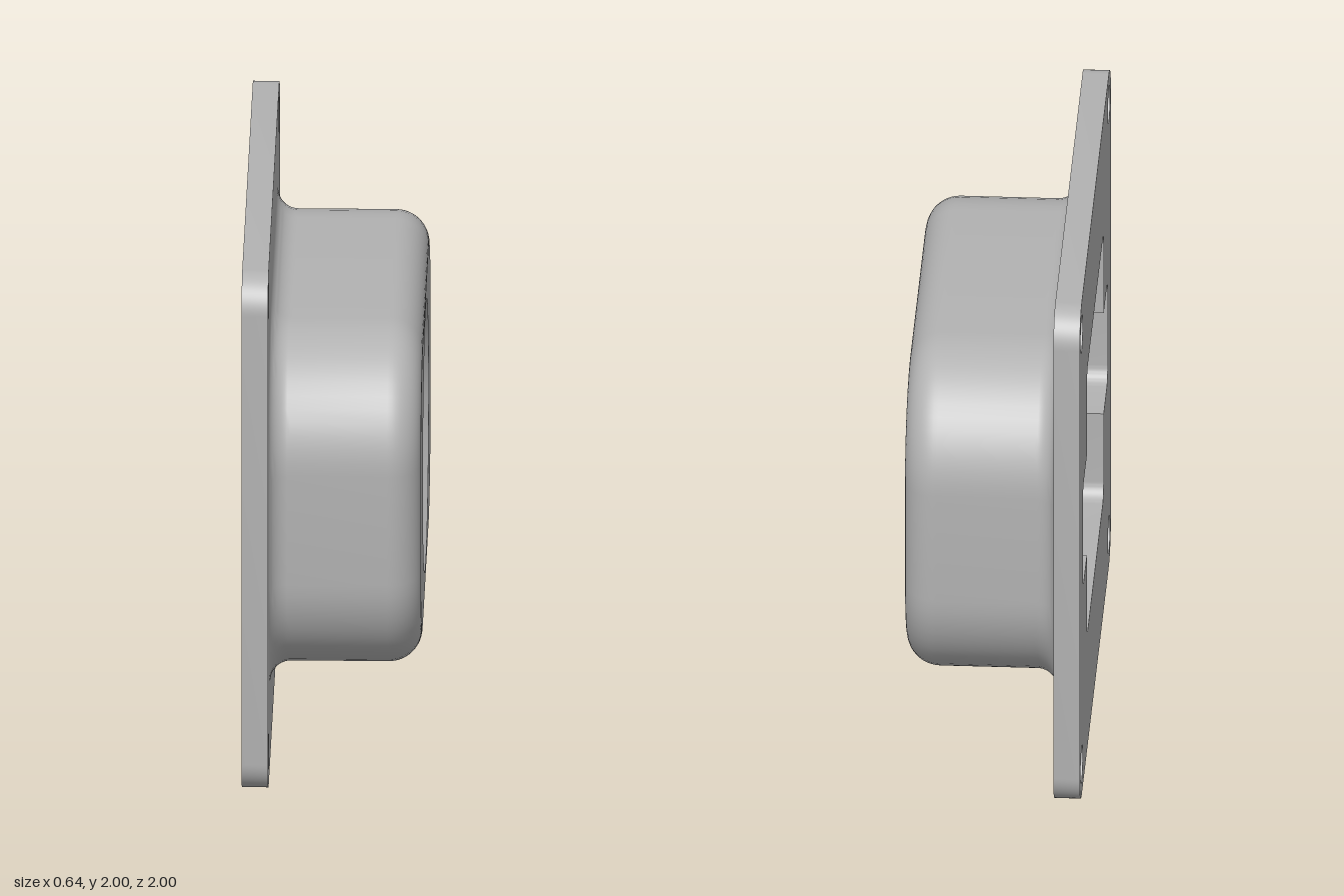
import * as THREE from 'three';
import { toCreasedNormals } from 'three/addons/utils/BufferGeometryUtils.js';

// Cross-sections lie in the plate's plane (u, v); w is the depth, which ends up along +x.
const BACK = -0.32, PLATE = -0.225, FLOOR = 0, FRONT = 0.32;

// Right-angled outline, counter-clockwise, from corners [u, v, radius]
function outline(corners, steps = 14) {
  const n = corners.length, out = [];
  corners.forEach(([u, v, r], i) => {
    const p = new THREE.Vector2(u, v);
    if (!r) { out.push(p); return; }
    const d1 = p.clone().sub(new THREE.Vector2(...corners[(i + n - 1) % n].slice(0, 2))).normalize();
    const d2 = new THREE.Vector2(...corners[(i + 1) % n].slice(0, 2)).sub(p).normalize();
    const c = p.clone().addScaledVector(d1, -r).addScaledVector(d2, r);
    for (let k = 0; k <= steps; k++) {
      const t = (k / steps) * Math.PI / 2;
      out.push(c.clone().addScaledVector(d2, -r * Math.cos(t)).addScaledVector(d1, r * Math.sin(t)));
    }
  });
  return out;
}

const roundRect = (a, b, r) => outline([[a, -b, r], [a, b, r], [-a, b, r], [-a, -b, r]]);

function circle(r, n, cu = 0, cv = 0) {
  return Array.from({ length: n }, (_, i) => {
    const t = (i / n) * Math.PI * 2;
    return new THREE.Vector2(cu + r * Math.cos(t), cv + r * Math.sin(t));
  });
}

const at = (points, w) => points.map(p => new THREE.Vector3(p.x, p.y, w));

// Skin over closed rings ordered by depth; inward turns the faces to the axis
function loft(rings, inward = false) {
  const n = rings[0].length, pos = [], index = [];
  rings.forEach(ring => ring.forEach(p => pos.push(p.x, p.y, p.z)));
  for (let j = 0; j < rings.length - 1; j++) {
    for (let i = 0; i < n; i++) {
      const a = j * n + i, b = j * n + (i + 1) % n, c = b + n, d = a + n;
      if (inward) index.push(a, c, b, a, d, c);
      else index.push(a, b, c, a, c, d);
    }
  }
  const g = new THREE.BufferGeometry();
  g.setAttribute('position', new THREE.Float32BufferAttribute(pos, 3));
  g.setIndex(index);
  return toCreasedNormals(g, 0.6);
}

// Flat face with holes, looking forward or (mirrored in u) backward
function face(points, holes, w, backward = false) {
  const shape = new THREE.Shape(points);
  holes.forEach(h => shape.holes.push(new THREE.Path(h)));
  const g = new THREE.ShapeGeometry(shape);
  if (backward) g.rotateY(Math.PI);
  return g.translate(0, 0, w);
}

export function createModel() {
  const model = new THREE.Group();
  const body = new THREE.Group();
  body.name = 'mountingHousing';
  body.rotation.y = Math.PI / 2;
  body.position.y = 1;
  model.add(body);

  const grey = new THREE.MeshStandardMaterial({ color: 0xb2b2b2 });
  grey.name = 'grey';
  const add = (name, geometry) => {
    const mesh = new THREE.Mesh(geometry, grey);
    mesh.name = name;
    body.add(mesh);
  };

  // Main sections
  const baseFillet = 0.075, frontFillet = 0.12;
  const shell = o => roundRect(0.903 + o, 0.65 + o, 0.44 + o);
  const plate = roundRect(1, 1, 0.13);
  const screws = [[1, 1], [-1, 1], [-1, -1], [1, -1]].map(([u, v]) => circle(0.07, 32, u * 0.875, v * 0.875));
  const h = 0.54, tab = 0.8, th = 0.205, r = 0.06;
  const pocket = outline([
    [h, -h, r], [h, -th, 0], [tab, -th, r], [tab, th, r], [h, th, 0], [h, h, r],
    [-h, h, r], [-h, th, 0], [-tab, th, r], [-tab, -th, r], [-h, -th, 0], [-h, -h, r],
  ]);

  // Plate with four screw holes
  add('plateBack', face(plate, [...screws, pocket], BACK, true));
  add('plateFront', face(plate, [...screws, shell(baseFillet)], PLATE));
  add('plateEdge', loft([at(plate, BACK), at(plate, PLATE)]));
  screws.forEach(s => add('screwHole', loft([at(s, BACK), at(s, PLATE)], true)));

  // Outer shell: concave fillet at the plate, straight wall, rounded front edge
  const rings = [];
  const steps = 12;
  for (let k = 0; k <= steps; k++) {
    const t = (k / steps) * Math.PI / 2;
    rings.push(at(shell(baseFillet * (1 - Math.sin(t))), PLATE + baseFillet * (1 - Math.cos(t))));
  }
  for (let k = 0; k <= steps; k++) {
    const t = (k / steps) * Math.PI / 2;
    rings.push(at(shell(frontFillet * (Math.cos(t) - 1)), FRONT + frontFillet * (Math.sin(t) - 1)));
  }
  add('housingShell', loft(rings));

  // Front face around the round opening
  const bore = 0.46, n = 96;
  const rim = circle(0.493, n);
  add('housingFront', face(shell(-frontFillet), [rim], FRONT));

  // Pocket open to the back, with a side slot on each side
  add('pocketWall', loft([at(pocket, BACK), at(pocket, FLOOR)], true));
  const slot = outline([[h, -th, 0], [tab, -th, r], [tab, th, r], [h, th, 0]]);
  add('slotFloor', face(slot, [], FLOOR, true));
  add('slotFloor', face(slot.map(p => new THREE.Vector2(-p.x, p.y)), [], FLOOR, true));

  // Square funnel narrowing into the bore
  const bottom = [], top = [];
  circle(1, n).forEach(d => {
    const ax = Math.abs(d.x), ay = Math.abs(d.y), m = Math.max(ax, ay), c = h - r;
    let len = h / m;
    if (Math.min(ax, ay) * len > c) {
      const b = c * (ax + ay);
      len = b + Math.sqrt(Math.max(0, b * b - 2 * c * c + r * r));
    }
    bottom.push(new THREE.Vector3(d.x * len, d.y * len, FLOOR));
    top.push(new THREE.Vector3(d.x * bore, d.y * bore, FLOOR + (h - bore * m) / 0.9));
  });
  add('funnel', loft([bottom, top], true));

  // Round bore and its chamfered rim
  const boreRing = at(circle(bore, n), FRONT - 0.033);
  add('bore', loft([top, boreRing], true));
  add('boreChamfer', loft([boreRing, at(rim, FRONT)], true));

  return model;
}
